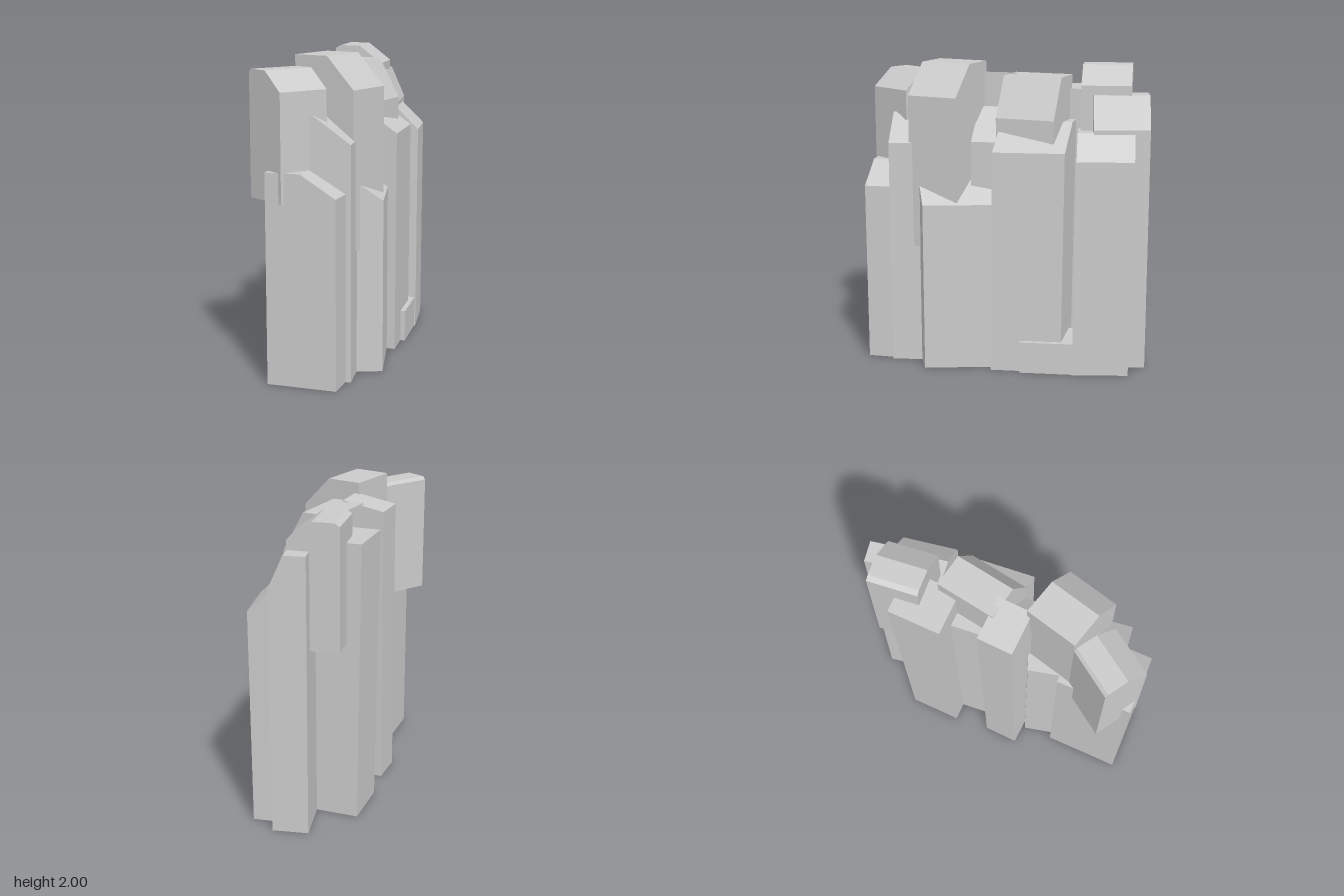
import * as THREE from 'three';

// Rock column: footprint from three corners [x, z] (back left, back right, front left),
// extruded from a profile of [t, y] points that run from its left side (0) to its right side (1).
// lean shifts the foot of the column in x and z.
function column(name, backLeft, backRight, frontLeft, bottom, top, lean = [0, 0]) {
  const shape = new THREE.Shape();
  shape.moveTo(0, bottom);
  shape.lineTo(1, bottom);
  for (const [t, y] of [...top].reverse()) shape.lineTo(t, y);
  shape.closePath();

  const geometry = new THREE.ExtrudeGeometry(shape, { depth: 1, bevelEnabled: false });
  const p = geometry.attributes.position;
  const height = Math.max(...top.map(([, y]) => y));
  for (let i = 0; i < p.count; i++) {
    const t = p.getX(i), y = p.getY(i), s = p.getZ(i);
    const foot = Math.max(0, 1 - y / height);
    const at = (k) => backLeft[k] + t * (backRight[k] - backLeft[k])
      + s * (frontLeft[k] - backLeft[k]) + lean[k] * foot;
    p.setXYZ(i, at(0), y, at(1));
  }
  geometry.computeVertexNormals();
  const mesh = new THREE.Mesh(geometry,
    new THREE.MeshStandardMaterial({ color: 0xcccccc, flatShading: true }));
  mesh.name = name;
  return mesh;
}

export function createModel() {
  const cliff = new THREE.Group();
  cliff.name = 'rockCliff';
  cliff.add(
    // front end
    column('frontOverhang', [-0.18, 0.5], [0.09, 0.66], [-0.365, 0.78], 1.14,
      [[0, 1.91], [0.06, 1.93], [0.52, 1.93], [1, 1.81]]),
    column('frontColumn', [-0.21, 0.43], [0.235, 0.41], [-0.205, 0.93], 0,
      [[0, 1.33], [0.5, 1.33], [1, 1.19]]),
    column('frontInnerColumn', [-0.12, 0.47], [0.22, 0.42], [-0.07, 0.78], 0,
      [[0, 1.66], [0.32, 1.66], [1, 1.49]]),
    column('tallestBlock', [-0.1, 0.16], [0.32, 0.26], [-0.18, 0.5], 0.8,
      [[0, 2], [0.55, 2], [1, 1.8]]),
    column('lowSideColumn', [-0.22, 0.23], [0.27, 0.02], [-0.1, 0.68], 0,
      [[0, 1.33], [0.4, 1.33], [1, 1.11]]),

    // middle
    column('middleRightColumn', [-0.34, -0.055], [-0.065, -0.045], [-0.345, 0.175], 0,
      [[0, 1.88], [1, 1.93]], [0, 0.03]),
    column('middleFillColumn', [-0.12, -0.02], [0.16, -0.02], [-0.11, 0.2], 0,
      [[0, 1.71], [0.2, 1.7], [1, 1.5]]),
    column('middleCap', [-0.14, -0.41], [0.22, -0.355], [-0.195, -0.02], 0.9,
      [[0, 1.92], [0.6, 1.92], [1, 1.66]]),
    column('wideSideColumn', [-0.27, -0.45], [0.28, -0.44], [-0.22, 0.01], 0,
      [[0, 1.63], [0.55, 1.63], [1, 1.465]], [0, 0.015]),

    // back end
    column('backOverhang', [-0.32, -0.79], [0.005, -0.82], [-0.28, -0.47], 1.19,
      [[0, 1.97], [0.1, 1.99], [0.52, 1.99], [1, 1.87]]),
    column('backRightColumn', [-0.395, -0.625], [-0.1, -0.63], [-0.395, -0.28], 0,
      [[0, 1.83], [1, 1.83]], [0.025, 0.02]),
    column('backColumn', [-0.155, -0.91], [0.07, -0.955], [-0.085, -0.555], 0,
      [[0, 1.81], [0.6, 1.81], [1, 1.6]]),
    column('backSideColumn', [-0.12, -0.83], [0.24, -0.88], [-0.05, -0.47], 0,
      [[0, 1.58], [0.55, 1.58], [1, 1.42]], [0, 0.015]),

    // small stone at the foot
    column('footStone', [0, -0.5], [0.3, -0.53], [0.04, -0.13], 0,
      [[0, 0.22], [1, 0.21]]),
  );
  return cliff;
}
